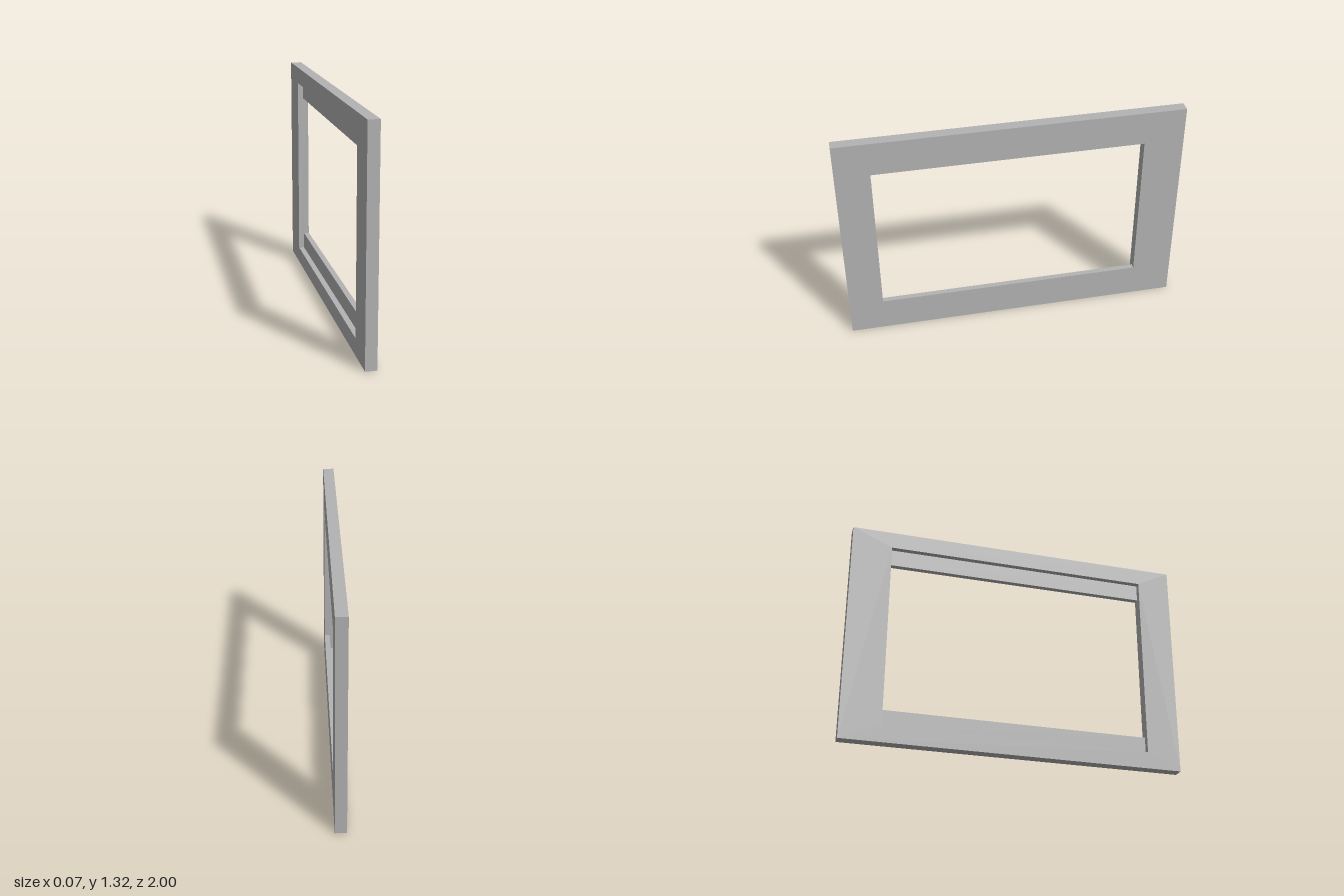
import * as THREE from 'three';

const DEPTH = 0.066;                       // thickness along x
const HEIGHT = 1.315;
const OPENING = { back: -0.765, front: 0.8, bottom: 0.1, top: 1.215 };
const LIP = { height: 0.1, depth: DEPTH / 2 };

// Rectangle corners in the (z, y) plane
const rect = (z0, y0, z1, y1) => [[z0, y0], [z1, y0], [z1, y1], [z0, y1]]
  .map(([z, y]) => new THREE.Vector2(z, y));

export function createModel() {
  const model = new THREE.Group();
  model.name = 'windowFrame';
  const grey = new THREE.MeshStandardMaterial({ color: 0xb3b3b3 });
  grey.name = 'plainGrey';

  // Flat surround with a slightly off-centre opening
  const outline = new THREE.Shape(rect(-1, 0, 1, HEIGHT));
  outline.holes.push(new THREE.Path(rect(OPENING.back, OPENING.bottom, OPENING.front, OPENING.top)));
  const geometry = new THREE.ExtrudeGeometry(outline, { depth: DEPTH, bevelEnabled: false });
  geometry.translate(0, 0, -DEPTH / 2).rotateY(-Math.PI / 2);
  const surround = new THREE.Mesh(geometry, grey);
  surround.name = 'surround';
  model.add(surround);

  // Half-depth lips narrow the opening, flush with the +x face
  const width = OPENING.front - OPENING.back;
  const lips = {
    bottomLip: OPENING.bottom + LIP.height / 2,
    topLip: OPENING.top - LIP.height / 2,
  };
  for (const [name, y] of Object.entries(lips)) {
    const lip = new THREE.Mesh(new THREE.BoxGeometry(LIP.depth, LIP.height, width), grey);
    lip.name = name;
    lip.position.set((DEPTH - LIP.depth) / 2, y, (OPENING.front + OPENING.back) / 2);
    model.add(lip);
  }
  return model;
}
